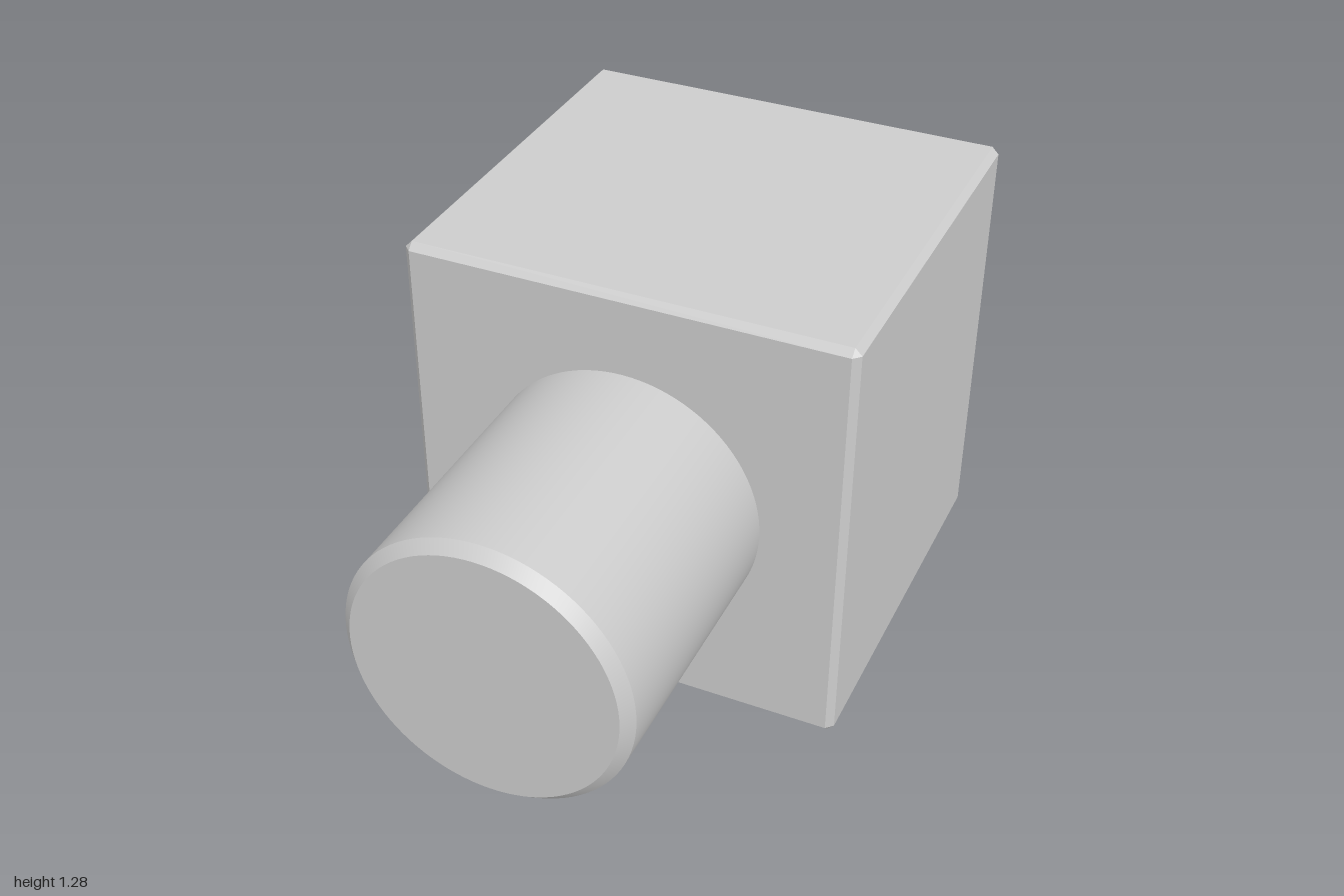
import * as THREE from 'three';
import { toCreasedNormals } from 'three/addons/utils/BufferGeometryUtils.js';
import { ConvexGeometry } from 'three/addons/geometries/ConvexGeometry.js';

// Box centred on the origin with flat chamfers on every edge
function chamferedBox(w, h, d, c) {
  const points = [];
  for (const sx of [-1, 1]) for (const sy of [-1, 1]) for (const sz of [-1, 1]) {
    const x = w / 2, y = h / 2, z = d / 2;
    points.push(
      new THREE.Vector3(sx * x, sy * (y - c), sz * (z - c)),
      new THREE.Vector3(sx * (x - c), sy * y, sz * (z - c)),
      new THREE.Vector3(sx * (x - c), sy * (y - c), sz * z)
    );
  }
  return new ConvexGeometry(points);
}

// Round shaft along +z with a chamfered, closed front end
function chamferedShaft(radius, length, c) {
  const profile = [
    [radius, 0], [radius, length - c], [radius - c, length], [0, length]
  ].map(([r, y]) => new THREE.Vector2(r, y));
  const geometry = new THREE.LatheGeometry(profile, 96);
  geometry.rotateX(Math.PI / 2);
  return toCreasedNormals(geometry, 0.4);
}

export function createModel() {
  const group = new THREE.Group();
  const grey = new THREE.MeshStandardMaterial({ color: 0xcccccc });
  grey.name = 'light grey';

  // Block
  const block = new THREE.Mesh(chamferedBox(1.28, 1.28, 1.2, 0.02), grey);
  block.name = 'block';
  block.position.set(0, 0.64, -0.4);

  // Shaft projecting from the front face
  const shaft = new THREE.Mesh(chamferedShaft(0.4, 0.8, 0.03), grey);
  shaft.name = 'shaft';
  shaft.position.set(0, 0.64, 0.2);

  group.add(block, shaft);
  return group;
}
